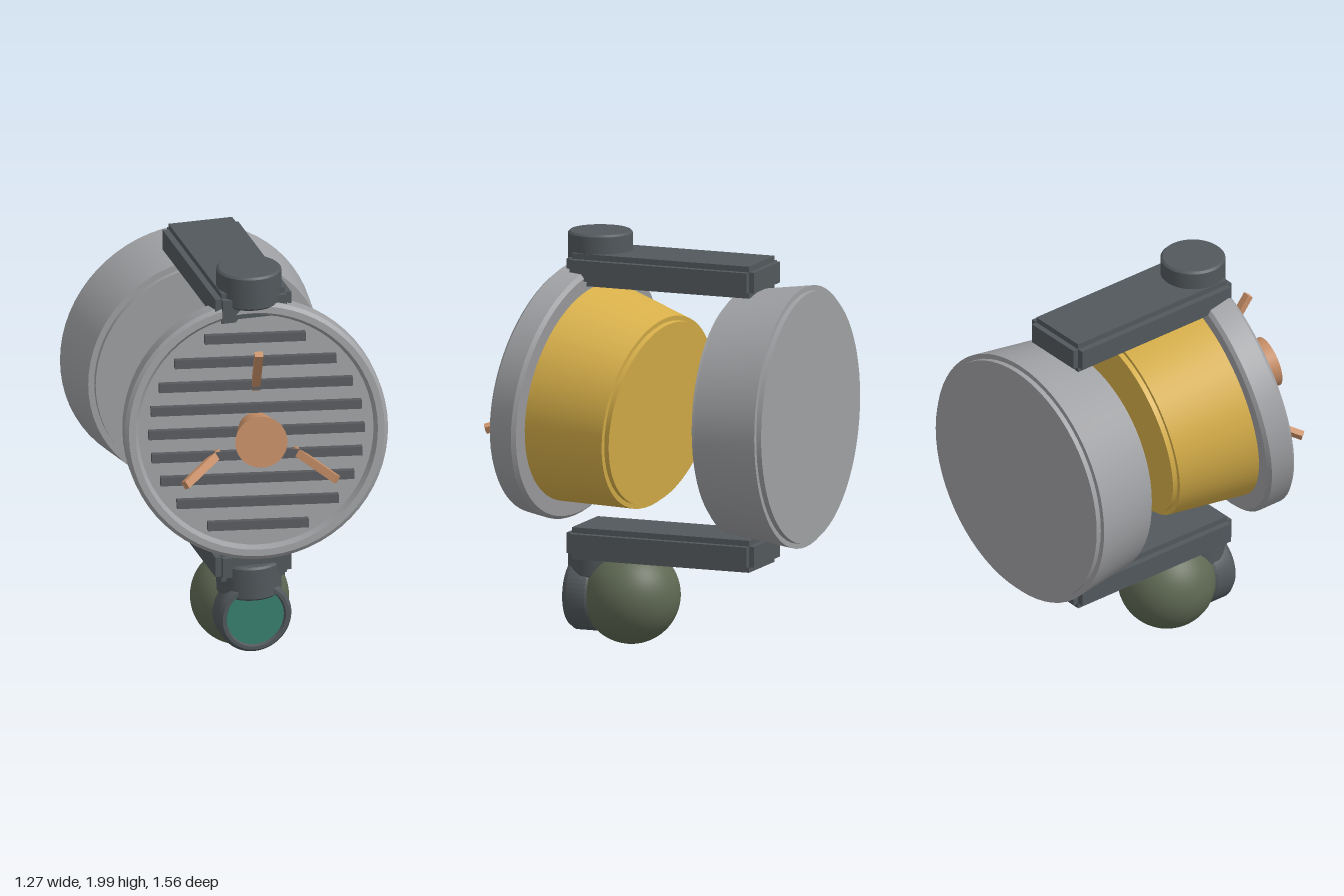
import * as THREE from 'three';
import { toCreasedNormals } from 'three/addons/utils/BufferGeometryUtils.js';

export function createModel() {
  const model = new THREE.Group();
  model.name = 'swivelLamp';

  const material = (name, color) => {
    const m = new THREE.MeshStandardMaterial({ color });
    m.name = name;
    return m;
  };
  const grey = material('light grey metal', 0x9fa0a3);
  const yellow = material('yellow shell', 0xd8b04a);
  const dark = material('dark slate', 0x52585c);
  const grille = material('grille grey', 0x585a5f);
  const copper = material('copper', 0xc99068);
  const olive = material('olive', 0x5f6853);
  const teal = material('teal glass', 0x38806f);

  const add = (parent, name, geometry, mat, x = 0, y = 0, z = 0) => {
    const mesh = new THREE.Mesh(geometry, mat);
    mesh.name = name;
    mesh.position.set(x, y, z);
    parent.add(mesh);
    return mesh;
  };

  // Turned solid from [radius, height] points, rising along y
  const turned = (points, segments = 64) => toCreasedNormals(
    new THREE.LatheGeometry(points.map(([r, h]) => new THREE.Vector2(r, h)), segments), 0.6);
  // The same, lying along z
  const turnedZ = (points, segments) => turned(points, segments).rotateX(Math.PI / 2);

  // Rear drum with stepped rims
  add(model, 'rearDrum', turnedZ([
    [0, -0.78], [0.605, -0.78], [0.605, -0.755], [0.63, -0.755],
    [0.585, -0.425], [0.555, -0.425], [0.555, -0.4], [0, -0.4],
  ]), grey, 0, 1.17, 0);

  // Tilted head, its origin at the middle of the front rim
  const head = new THREE.Group();
  head.name = 'head';
  head.position.set(-0.02, 1.235, 0.515);
  head.rotation.set(-0.15, -0.177, 0, 'YXZ');
  model.add(head);

  add(head, 'headShell', turnedZ([
    [0, -0.575], [0.452, -0.575], [0.452, -0.55], [0.475, -0.55],
    [0.54, -0.13], [0, -0.13],
  ]), yellow);
  add(head, 'headRim', turnedZ([
    [0.53, -0.15], [0.612, -0.15], [0.63, -0.133], [0.63, -0.017],
    [0.612, 0], [0.58, 0], [0.56, -0.04], [0.53, -0.04], [0.53, -0.15],
  ]), grey);
  add(head, 'frontDisc', turnedZ([[0, -0.1], [0.565, -0.1], [0.565, -0.035], [0, -0.035]]), grey);

  // Grille bars, trimmed to a circle
  for (let i = -4; i <= 4; i++) {
    const y = i * 0.1143;
    const length = 2 * Math.sqrt(0.517 ** 2 - y * y);
    add(head, 'grilleBar', new THREE.BoxGeometry(length, 0.042, 0.06), grille, 0, y, -0.02);
  }

  // Central flared nozzle and three splayed prongs
  add(head, 'nozzle', turnedZ([[0, -0.04], [0.085, -0.04], [0.125, 0.22], [0, 0.22]], 48), copper);
  for (let i = 0; i < 3; i++) {
    const spoke = new THREE.Group();
    spoke.name = 'prongMount';
    spoke.rotation.z = i * Math.PI * 2 / 3;
    head.add(spoke);
    const prong = add(spoke, 'prong', new THREE.BoxGeometry(0.04, 0.285, 0.03), copper, 0, 0.313, 0.073);
    prong.rotation.x = Math.atan2(0.19, 0.21);
  }

  // Upper and lower arms, each a box with notched edges
  for (const [name, y] of [['upperArm', 1.83], ['lowerArm', 0.503]]) {
    const arm = new THREE.Group();
    arm.name = name;
    arm.position.set(0, y, -0.07);
    model.add(arm);
    for (const size of [[0.376, 0.1, 0.915], [0.315, 0.155, 0.915], [0.315, 0.1, 0.97]]) {
      add(arm, name + 'Block', new THREE.BoxGeometry(...size), dark);
    }
  }

  // Pivot knobs
  const knob = turned([
    [0, 0], [0.145, 0], [0.155, 0.01], [0.155, 0.16], [0.145, 0.17], [0, 0.17],
  ], 48);
  add(model, 'upperKnob', knob, dark, 0, 1.83, 0.307);
  add(model, 'lowerKnob', knob, dark, 0, 0.338, 0.307);

  // Ball with a lens in a dark collar
  add(model, 'ball', new THREE.SphereGeometry(0.236, 48, 32), olive, 0, 0.246, 0.147);
  add(model, 'lensCollar', turnedZ([
    [0.12, 0.29], [0.165, 0.29], [0.182, 0.315], [0.182, 0.41],
    [0.165, 0.435], [0.148, 0.435], [0.14, 0.415], [0.12, 0.415], [0.12, 0.29],
  ], 48), dark, 0, 0.243, 0);
  add(model, 'lens', turnedZ([[0, 0.36], [0.141, 0.36], [0.141, 0.422], [0, 0.422]], 48), teal, 0, 0.243, 0);

  return model;
}
